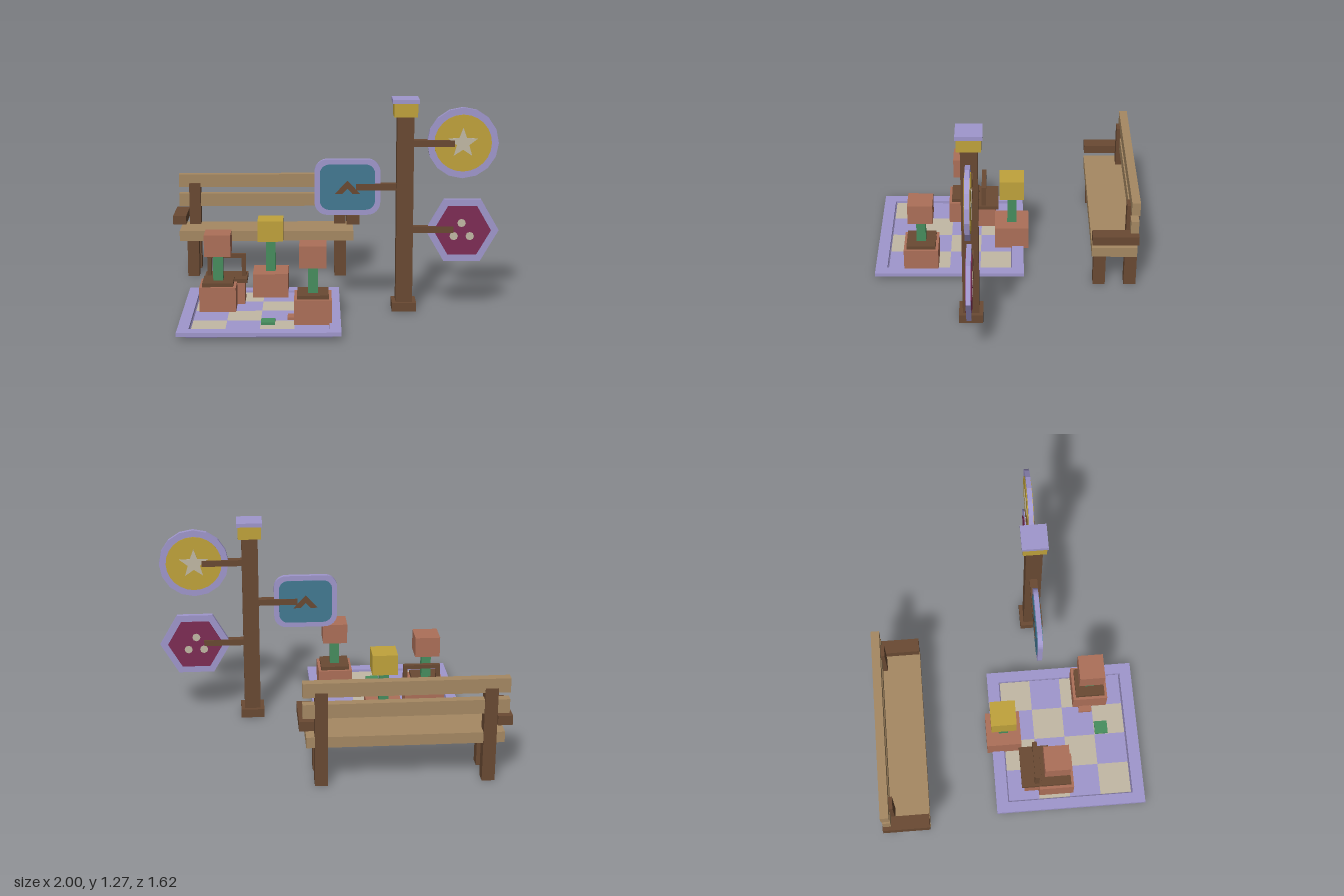
import * as THREE from 'three';

const mat = (name, color) => {
  const m = new THREE.MeshStandardMaterial({ color });
  m.name = name;
  return m;
};

export function createModel() {
  const lilac = mat('lilac', 0xa097cd), slate = mat('slate', 0x776f97);
  const wood = mat('lightWood', 0xa68963), brown = mat('darkWood', 0x6a4a33);
  const terracotta = mat('terracotta', 0xad7059), yellow = mat('yellow', 0xc0a33c);
  const green = mat('green', 0x478e5e), cream = mat('cream', 0xc2b9a5);
  const teal = mat('teal', 0x437a93), crimson = mat('crimson', 0x7e2d55);

  const root = new THREE.Group();
  const group = (name, x = 0, y = 0, z = 0) => {
    const g = new THREE.Group();
    g.name = name;
    g.position.set(x, y, z);
    root.add(g);
    return g;
  };
  // box given by its limits on each axis
  const box = (parent, name, m, x0, x1, y0, y1, z0, z1) => {
    const mesh = new THREE.Mesh(new THREE.BoxGeometry(x1 - x0, y1 - y0, z1 - z0), m);
    mesh.position.set((x0 + x1) / 2, (y0 + y1) / 2, (z0 + z1) / 2);
    mesh.name = name;
    parent.add(mesh);
    return mesh;
  };
  // flat outline extruded evenly about z = 0
  const plate = (parent, name, m, shape, half, x = 0, y = 0) => {
    const geo = new THREE.ExtrudeGeometry(shape, { depth: half * 2, bevelEnabled: false, curveSegments: 4 });
    const mesh = new THREE.Mesh(geo.translate(x, y, -half), m);
    mesh.name = name;
    parent.add(mesh);
  };
  const poly = (n, r, start = 0, inner = r) => new THREE.Shape(Array.from({ length: n }, (_, i) => {
    const a = start + (i / n) * Math.PI * 2, q = i % 2 ? inner : r;
    return new THREE.Vector2(Math.cos(a) * q, Math.sin(a) * q);
  }));
  const roundRect = (w, h, r) => {
    const s = new THREE.Shape();
    s.absarc(w - r, h - r, r, 0, Math.PI / 2);
    s.absarc(r - w, h - r, r, Math.PI / 2, Math.PI);
    s.absarc(r - w, r - h, r, Math.PI, Math.PI * 1.5);
    s.absarc(w - r, r - h, r, Math.PI * 1.5, Math.PI * 2);
    return s;
  };

  // Bench
  const bench = group('bench');
  box(bench, 'seat', wood, -0.96, 0.16, 0.237, 0.302, -0.805, -0.53);
  box(bench, 'lowerBackSlat', wood, -0.98, 0.18, 0.418, 0.502, -0.805, -0.757);
  box(bench, 'upperBackSlat', wood, -0.98, 0.18, 0.545, 0.63, -0.808, -0.757);
  for (const s of [-1, 1]) {
    const c = -0.4 + s * 0.475, a = -0.4 + s * 0.558;
    box(bench, 'backLeg', brown, c - 0.037, c + 0.037, 0, 0.572, -0.81, -0.735);
    box(bench, 'frontLeg', brown, c - 0.037, c + 0.037, 0, 0.24, -0.62, -0.545);
    box(bench, 'armrest', brown, a - 0.042, a + 0.042, 0.345, 0.402, -0.81, -0.53);
  }

  // Checkered mat with a raised border
  const rug = group('mat');
  box(rug, 'matBase', slate, -0.81, 0.01, 0, 0.022, -0.075, 0.76);
  const rim = new THREE.Shape();
  rim.moveTo(-0.46, -0.463).lineTo(0.46, -0.463).lineTo(0.46, 0.463).lineTo(-0.46, 0.463).closePath();
  const hole = new THREE.Path();
  hole.moveTo(-0.395, -0.39).lineTo(-0.395, 0.39).lineTo(0.395, 0.39).lineTo(0.395, -0.39).closePath();
  rim.holes.push(hole);
  const border = new THREE.Mesh(
    new THREE.ExtrudeGeometry(rim, { depth: 0.022, bevelEnabled: false }).rotateX(-Math.PI / 2), lilac);
  border.position.set(-0.4, 0.02, 0.343);
  border.name = 'matBorder';
  rug.add(border);
  for (let r = 0; r < 4; r++) for (let c = 0; c < 4; c++) {
    const x = -0.785 + c * 0.194, z = -0.04 + r * 0.191;
    box(rug, 'tile', (r + c) % 2 ? cream : lilac, x, x + 0.194, 0.018, 0.03, z, z + 0.191);
  }
  box(rug, 'greenToken', green, -0.395, -0.315, 0.025, 0.045, 0.537, 0.618);
  box(rug, 'terracottaToken', terracotta, -0.245, -0.165, 0.025, 0.045, 0.448, 0.53);

  // Potted block flowers
  const flower = (x, z, bloom, soil, lift) => {
    const g = group('pottedFlower', x, 0, z);
    box(g, 'pot', terracotta, -0.107, 0.107, 0.025, 0.175, -0.107, 0.107);
    if (soil) box(g, 'soil', brown, -0.09, 0.09, 0.175, 0.198, -0.09, 0.09);
    box(g, 'stem', green, -0.029, 0.029, 0.175, 0.36 + lift, -0.029, 0.029);
    box(g, 'bloom', bloom, -0.077, 0.077, 0.355 + lift, 0.482 + lift, -0.077, 0.077);
  };
  flower(-0.657, 0.256, terracotta, true, 0);
  flower(-0.099, 0.519, terracotta, true, 0);
  flower(-0.357, -0.045, yellow, false, 0.015);

  // Basket with a handle
  const basket = group('basket');
  box(basket, 'basketBody', terracotta, -0.73, -0.505, 0.025, 0.168, 0.06, 0.207);
  box(basket, 'basketLip', brown, -0.745, -0.49, 0.165, 0.19, 0.042, 0.225);
  box(basket, 'handlePost', brown, -0.73, -0.705, 0.19, 0.305, 0.122, 0.15);
  box(basket, 'handlePost', brown, -0.525, -0.5, 0.19, 0.305, 0.122, 0.15);
  box(basket, 'handleBar', brown, -0.73, -0.5, 0.3, 0.325, 0.122, 0.15);

  // Signpost
  const post = group('signpost', 0.44, 0, 0.198);
  box(post, 'postBase', brown, -0.072, 0.072, 0, 0.054, -0.072, 0.072);
  box(post, 'post', brown, -0.049, 0.049, 0.05, 1.17, -0.049, 0.049);
  box(post, 'postCollar', yellow, -0.069, 0.069, 1.165, 1.245, -0.07, 0.07);
  box(post, 'postCap', lilac, -0.077, 0.077, 1.243, 1.267, -0.077, 0.077);
  for (const [x0, x1, y] of [[0.04, 0.29, 1.003], [0.04, 0.29, 0.488], [-0.285, -0.04, 0.745]])
    box(post, 'signArm', brown, x0, x1, y - 0.019, y + 0.019, -0.023, 0.023);

  // Signs: frame, coloured panel and emblem, shown on both faces
  const round = group('roundSign', 0.777, 1.004, 0.198);
  plate(round, 'roundFrame', lilac, poly(16, 0.209), 0.014);
  plate(round, 'roundPanel', yellow, poly(24, 0.168), 0.018);
  plate(round, 'star', cream, poly(10, 0.092, Math.PI / 2, 0.038), 0.021);

  const hex = group('hexSign', 0.782, 0.482, 0.198);
  plate(hex, 'hexFrame', lilac, poly(6, 0.216), 0.014);
  plate(hex, 'hexPanel', crimson, poly(6, 0.17), 0.018);
  for (const [x, y] of [[-0.005, 0.045], [-0.05, -0.034], [0.045, -0.034]])
    plate(hex, 'dot', cream, poly(8, 0.025), 0.021, x, y);

  const square = group('roundedSign', 0.104, 0.743, 0.198);
  plate(square, 'roundedFrame', lilac, roundRect(0.193, 0.166, 0.075), 0.014);
  plate(square, 'roundedPanel', teal, roundRect(0.162, 0.135, 0.055), 0.018);
  const chevron = [[-0.075, -0.04], [-0.03, -0.04], [0, -0.008], [0.03, -0.04], [0.075, -0.04], [0, 0.04]];
  plate(square, 'chevron', brown, new THREE.Shape(chevron.map(p => new THREE.Vector2(...p))), 0.021);

  return root;
}
